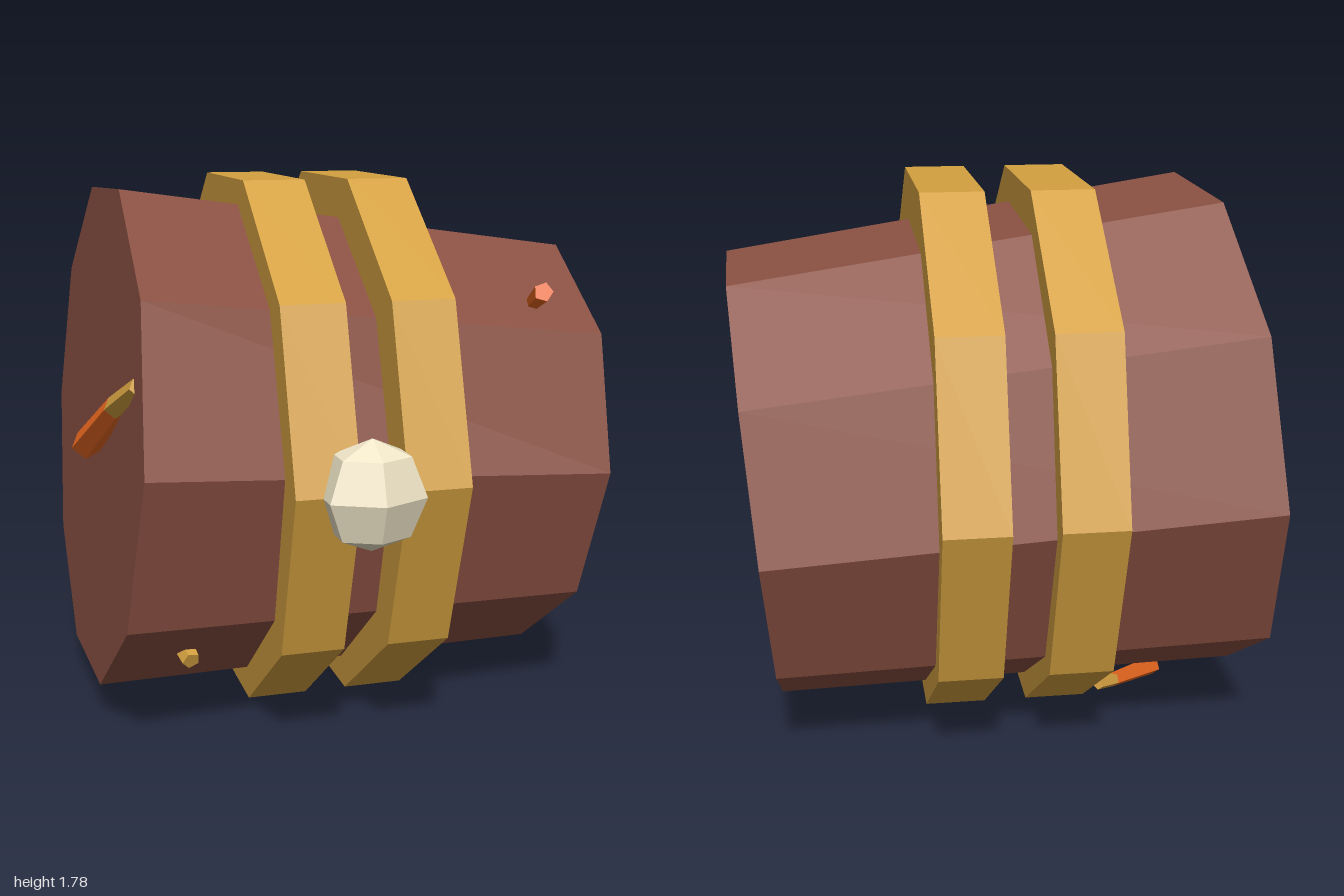
import * as THREE from 'three';

const paint = (color) => new THREE.MeshStandardMaterial({ color, flatShading: true });

export function createModel() {
  const model = new THREE.Group();
  const wood = paint(0x8a5042);
  const gold = paint(0xd4a040);
  const cream = paint(0xefe5c8);
  const orange = paint(0xea6820);

  const add = (parent, name, geometry, material) => {
    const mesh = new THREE.Mesh(geometry, material);
    mesh.name = name;
    parent.add(mesh);
    return mesh;
  };

  // tapered ten-sided barrel, lying on its side and slightly tilted
  const barrelShape = new THREE.CylinderGeometry(0.755, 0.862, 1.568, 10).rotateZ(-Math.PI / 2);
  const barrel = add(model, 'barrel', barrelShape, wood);
  barrel.rotation.set(-0.042, 0.035, -0.077, 'ZYX');
  barrel.position.set(0.025, 0.872, -0.106);

  // two broad hoops
  for (const [x, name] of [[-0.195, 'rightHoop'], [0.152, 'leftHoop']]) {
    const shape = new THREE.CylinderGeometry(0.93, 0.93, 0.203, 10).rotateZ(-Math.PI / 2);
    add(model, name, shape, gold).position.set(x, 0.9, -0.07);
  }

  // flattened faceted knob on the front
  const knob = add(model, 'knob', new THREE.SphereGeometry(0.172, 6, 4).rotateY(Math.PI / 2), cream);
  knob.scale.z = 0.826;
  knob.position.set(-0.064, 0.9, 0.858);

  // splinter: tapered orange body from a to b, then a gold tip to c
  const rod = (parent, name, a, b, ra, rb, material) => {
    const from = new THREE.Vector3(...a);
    const to = new THREE.Vector3(...b);
    const dir = to.clone().sub(from);
    const mesh = add(parent, name, new THREE.CylinderGeometry(rb, ra, dir.length(), 5), material);
    mesh.position.copy(from).add(to).multiplyScalar(0.5);
    mesh.quaternion.setFromUnitVectors(new THREE.Vector3(0, 1, 0), dir.normalize());
  };
  const splinter = (name, a, b, c, r) => {
    const group = new THREE.Group();
    group.name = name;
    rod(group, 'splinterBody', a, b, r, r * 0.75, orange);
    rod(group, 'splinterTip', b, c, r * 0.75, r * 0.6, gold);
    model.add(group);
  };
  splinter('endSplinter', [-0.81, 0.92, 0.085], [-0.745, 1.1, 0.36], [-0.7, 1.2, 0.56], 0.05);
  splinter('upperSplinter', [0.598, 1.44, 0.565], [0.655, 1.375, 0.36], [0.69, 1.33, 0.22], 0.032);
  splinter('underSplinter', [-0.58, 0.034, -0.215], [-0.39, 0.1, -0.42], [-0.32, 0.13, -0.5], 0.032);
  splinter('lowerSplinter', [-0.6, 0.42, 0.12], [-0.56, 0.32, 0.34], [-0.54, 0.275, 0.46], 0.05);

  return model;
}
